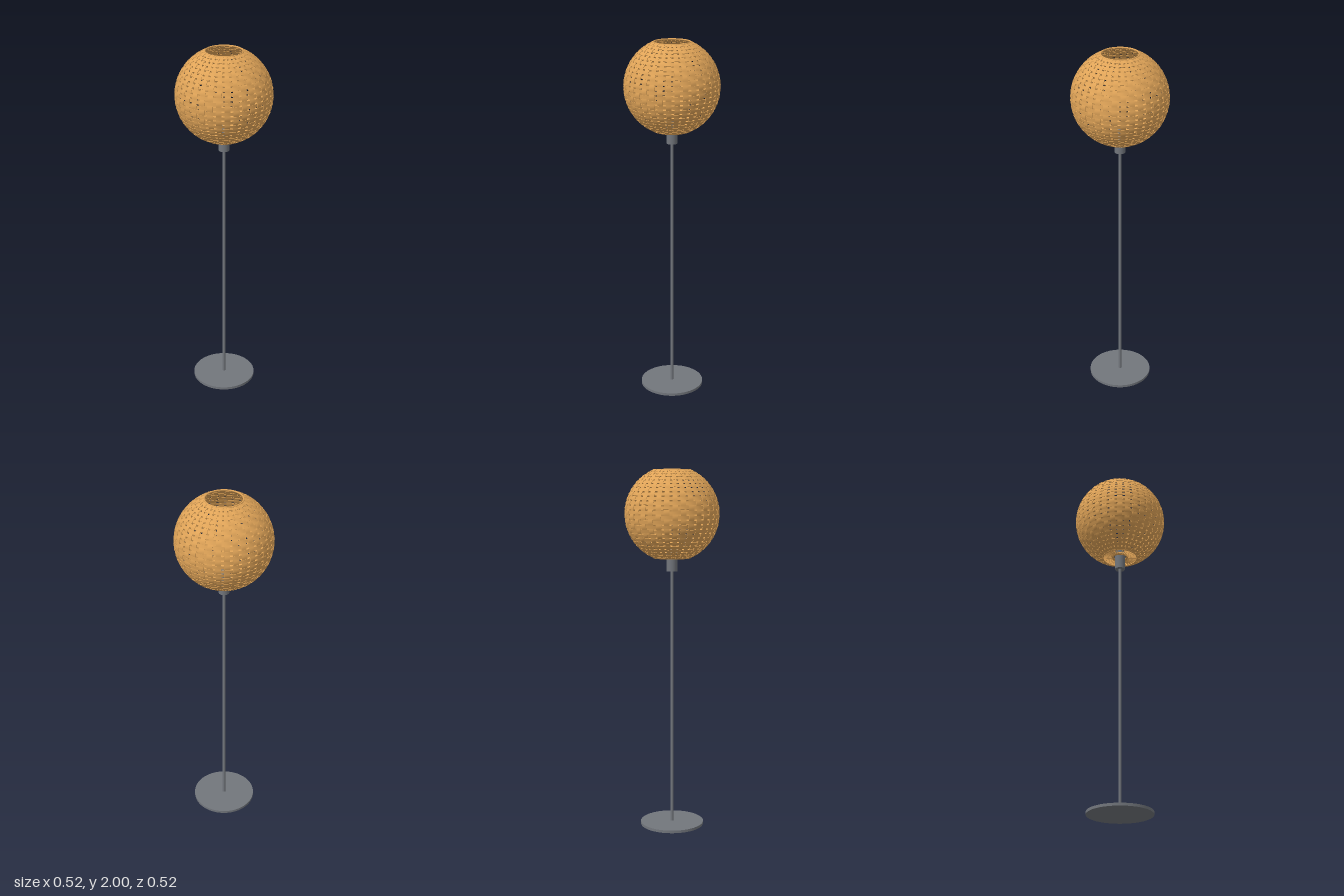
import * as THREE from 'three';
import { mergeGeometries, toCreasedNormals } from 'three/addons/utils/BufferGeometryUtils.js';

const metal = new THREE.MeshStandardMaterial({ color: 0x72767c });
const cane = new THREE.MeshStandardMaterial({ color: 0xe0a458 });

const CENTER = 1.758, R = 0.257, HALF = 0.237;   // shade globe, cut flat at both ends
const ROWS = 24, RIBS = 36;
const WAVE = 0.002, THICK = 0.0024;
const T0 = Math.acos(HALF / R), PITCH = (Math.PI - 2 * T0) / ROWS;
const HOLE = R * Math.sin(T0);

// Sweeps a flat rectangular strip; frame(u) gives centre p, side s (half width) and normal n (half thickness)
function strip(frame, steps, capped) {
  const pos = [], index = [];
  for (let k = 0; k <= steps; k++) {
    const { p, s, n } = frame(k / steps);
    for (const [a, b] of [[-1, -1], [1, -1], [1, 1], [-1, 1]]) {
      const v = p.clone().addScaledVector(s, a).addScaledVector(n, b);
      pos.push(v.x, v.y, v.z);
    }
  }
  for (let k = 0; k < steps; k++) {
    for (let e = 0; e < 4; e++) {
      const a = k * 4 + e, b = k * 4 + (e + 1) % 4;
      index.push(a, b, b + 4, a, b + 4, a + 4);
    }
  }
  if (capped) {
    const m = steps * 4;
    index.push(0, 3, 2, 0, 2, 1, m, m + 1, m + 2, m, m + 2, m + 3);
  }
  const g = new THREE.BufferGeometry();
  g.setAttribute('position', new THREE.Float32BufferAttribute(pos, 3));
  g.setIndex(index);
  return toCreasedNormals(g, 0.6);
}

const radial = (t, f) => new THREE.Vector3(Math.sin(t) * Math.cos(f), Math.cos(t), Math.sin(t) * Math.sin(f));
const south = (t, f) => new THREE.Vector3(Math.cos(t) * Math.cos(f), -Math.sin(t), Math.cos(t) * Math.sin(f));
const east = (f) => new THREE.Vector3(-Math.sin(f), 0, Math.cos(f));

// Horizontal band, passing alternately over and under the ribs
function weaveBand(j) {
  const t = T0 + (j + 0.5) * PITCH;
  return strip((u) => {
    const f = u * Math.PI * 2, n = radial(t, f);
    const r = R + WAVE * Math.cos(f * RIBS / 2 + j * Math.PI);
    return { p: n.clone().multiplyScalar(r), s: south(t, f).multiplyScalar(R * PITCH * 0.35), n: n.multiplyScalar(THICK / 2) };
  }, RIBS * 2, false);
}

// Upright rib, tapering to the openings and weaving opposite to the bands
function weaveRib(i) {
  const f = i / RIBS * Math.PI * 2;
  return strip((u) => {
    const t = T0 + u * ROWS * PITCH, n = radial(t, f);
    const r = R - WAVE * Math.cos((u * ROWS - 0.5 + i) * Math.PI);
    const half = R * Math.sin(t) * Math.PI / RIBS * 0.66;
    return { p: n.clone().multiplyScalar(r), s: east(f).multiplyScalar(-half), n: n.multiplyScalar(THICK / 2) };
  }, ROWS * 2, true);
}

function add(group, name, geometry, material, y = 0) {
  const mesh = new THREE.Mesh(geometry, material);
  mesh.name = name;
  mesh.position.y = y;
  group.add(mesh);
  return mesh;
}

export function createModel() {
  const lamp = new THREE.Group();
  lamp.name = 'floorLamp';

  // Stand
  add(lamp, 'base', new THREE.CylinderGeometry(0.178, 0.178, 0.015, 64), metal, 0.0075);
  add(lamp, 'pole', new THREE.CylinderGeometry(0.009, 0.009, 1.44, 24), metal, 0.73);

  // Lamp socket with a slightly wider collar
  add(lamp, 'socket', new THREE.CylinderGeometry(0.029, 0.029, 0.13, 40), metal, 1.51);
  add(lamp, 'socketCollar', new THREE.CylinderGeometry(0.034, 0.034, 0.012, 40), metal, 1.535);

  // Woven globe shade
  const shade = new THREE.Group();
  shade.name = 'shade';
  shade.position.y = CENTER;
  lamp.add(shade);
  const bands = Array.from({ length: ROWS }, (_, j) => weaveBand(j));
  const ribs = Array.from({ length: RIBS }, (_, i) => weaveRib(i));
  add(shade, 'wovenBands', mergeGeometries(bands), cane);
  add(shade, 'wovenRibs', mergeGeometries(ribs), cane);

  // Rims of the two openings
  for (const [name, y] of [['topRim', HALF], ['bottomRim', -HALF]]) {
    add(shade, name, new THREE.TorusGeometry(HOLE, 0.0045, 8, 72).rotateX(Math.PI / 2), cane, y);
  }

  // Inner ring gripping the socket, tied to the bottom rim by thin upright blades
  add(shade, 'socketRing', new THREE.TorusGeometry(0.042, 0.008, 10, 48).rotateX(Math.PI / 2), cane, -HALF + 0.006);
  const blades = Array.from({ length: RIBS }, (_, i) => {
    const length = HOLE - 0.044;
    return new THREE.BoxGeometry(length, 0.01, 0.0012)
      .translate(0.044 + length / 2, -HALF + 0.003, 0)
      .rotateY(i / RIBS * Math.PI * 2);
  });
  add(shade, 'shadeSpokes', mergeGeometries(blades), cane);

  return lamp;
}
